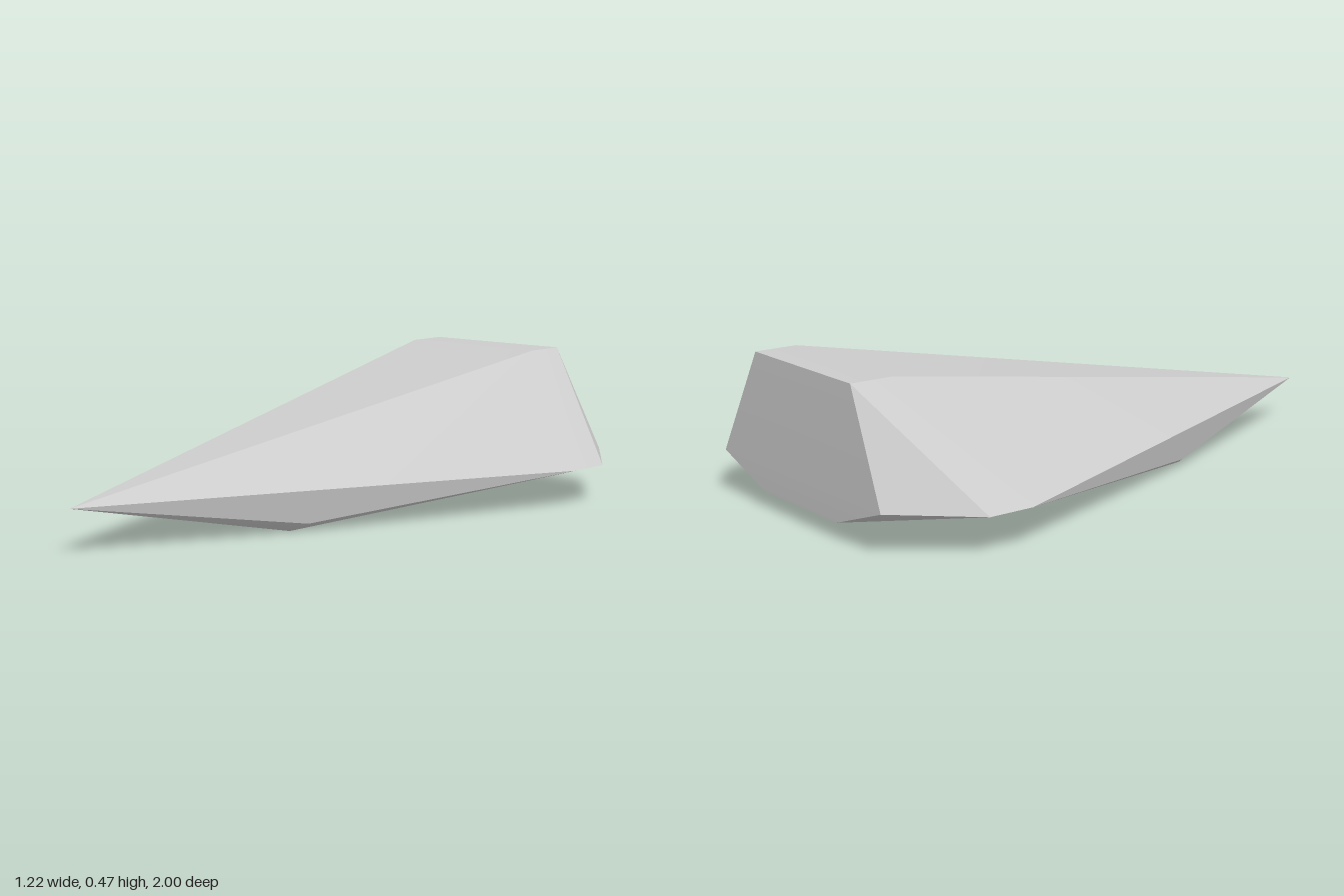
import * as THREE from 'three';
import { ConvexGeometry } from 'three/addons/geometries/ConvexGeometry.js';
import { toCreasedNormals } from 'three/addons/utils/BufferGeometryUtils.js';

export function createModel() {
  const group = new THREE.Group();
  group.name = 'wedgeHull';

  // Corners of the left half (+x), mirrored to the right
  const half = [
    [0.26, 0.465, -0.84], [0.26, 0.465, -0.98], // flat roof at the stern
    [0.61, 0.12, -0.61], [0.61, 0.12, -0.76],   // widest points of the rim
    [0.43, 0.13, -1],                           // rim at the stern plate
    [0.2, 0.05, -1], [0.2, 0.04, -0.94],        // rear keel edge
    [0.2, 0, 0.3], [0.2, 0, 0.15],              // keel bottom
    [0.25, 0.025, 0.27],                        // keel bevel
  ];
  const points = [new THREE.Vector3(0, 0.14, 1)]; // nose tip
  for (const [x, y, z] of half) {
    for (const s of [1, -1]) points.push(new THREE.Vector3(s * x, y, z));
  }

  // Faceted hull; shallow chamfers are smoothed, the main edges stay sharp
  const geometry = toCreasedNormals(new ConvexGeometry(points), 0.5);
  const hull = new THREE.Mesh(geometry, new THREE.MeshStandardMaterial({ color: 0xcccccc }));
  hull.name = 'hull';
  group.add(hull);
  return group;
}
